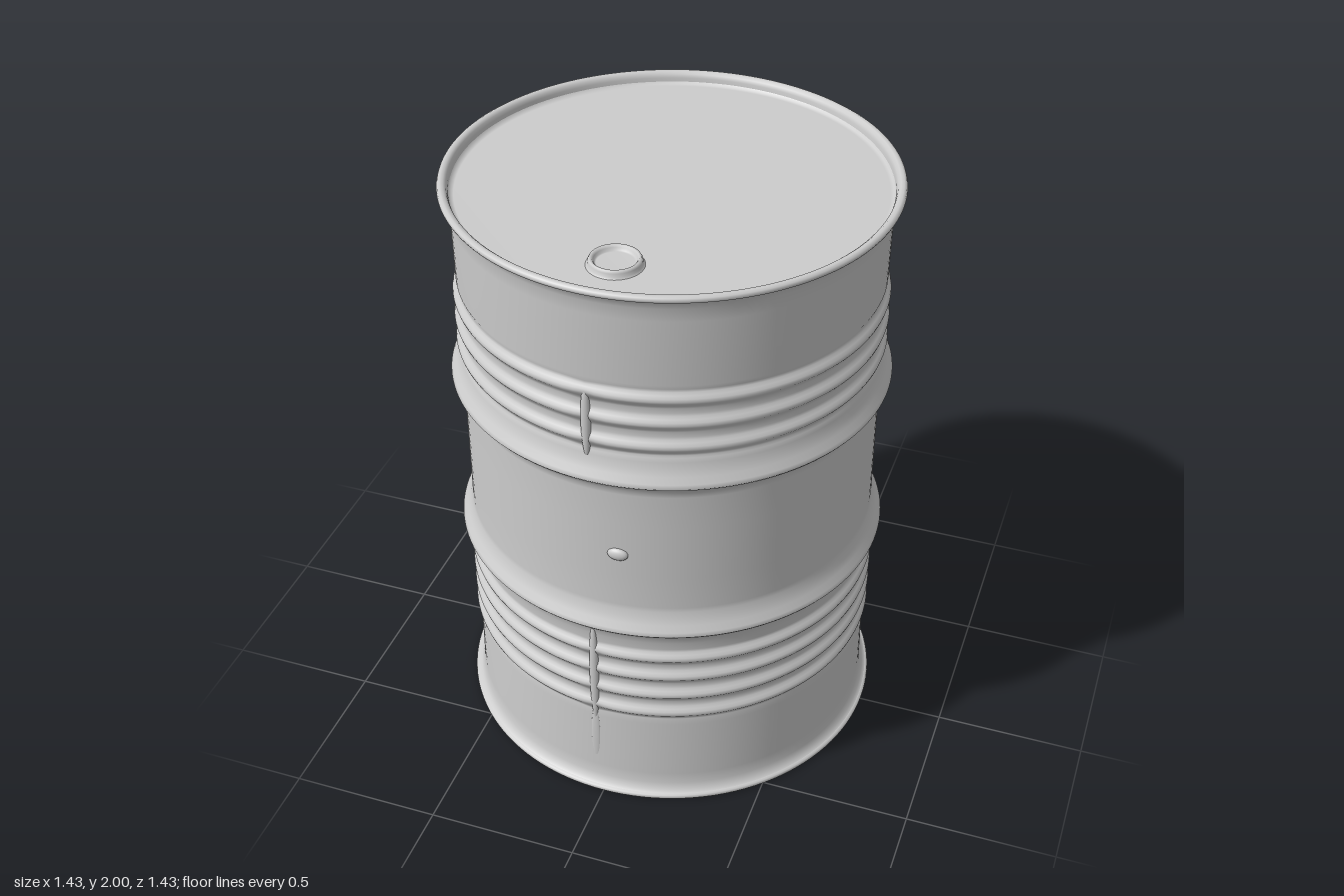
import * as THREE from 'three';

const SEGMENTS = 128;

export function createModel() {
  const group = new THREE.Group();
  const steel = new THREE.MeshStandardMaterial({ color: 0xcccccc });
  steel.name = 'grey steel';

  const add = (name, geometry) => {
    const mesh = new THREE.Mesh(geometry, steel);
    mesh.name = name;
    group.add(mesh);
    return mesh;
  };
  const lathe = (name, pts, segments = SEGMENTS) =>
    add(name, new THREE.LatheGeometry(pts.map(([r, y]) => new THREE.Vector2(r, y)), segments));

  // Outline of one small corrugation: valley, crest, valley
  const rib = (y, h = 0.034) => {
    const pts = [];
    for (let i = 0; i <= 8; i++) {
      const t = (i / 8) * 2 - 1;
      pts.push([0.672 + 0.009 * (1 + Math.cos(t * Math.PI)), y + t * h]);
    }
    return pts;
  };
  // Outline of one large rolling hoop, with a pointed crest
  const hoop = (y) => [
    [0.677, y - 0.06], [0.68, y - 0.04], [0.69, y - 0.022], [0.708, y - 0.008], [0.714, y],
    [0.708, y + 0.012], [0.696, y + 0.032], [0.686, y + 0.052], [0.68, y + 0.075], [0.677, y + 0.09],
  ];

  // Side wall with flared ends; the corrugations flatten out beside the seams
  const wall = lathe('sideWall', [
    [0.706, 0.018], [0.693, 0.026], [0.684, 0.05], [0.68, 0.09], [0.678, 0.32],
    ...rib(0.375), ...rib(0.455), ...rib(0.535), ...rib(0.615),
    ...hoop(0.74), [0.677, 0.95], [0.677, 1.15], ...hoop(1.33),
    ...rib(1.46), ...rib(1.545), ...rib(1.63),
    [0.678, 1.68], [0.681, 1.9], [0.685, 1.945], [0.694, 1.972], [0.706, 1.982],
  ]).geometry;
  const pos = wall.attributes.position;
  for (let i = 0; i < pos.count; i++) {
    const [x, y, z] = [pos.getX(i), pos.getY(i), pos.getZ(i)];
    const ribbed = (y > 0.33 && y < 0.655) || (y > 1.42 && y < 1.67);
    const seamX = Math.abs(x + 0.035 * Math.sign(z));
    if (!ribbed || seamX > 0.05) continue;
    const r = Math.hypot(x, z);
    const k = THREE.MathUtils.lerp(r, 0.68, 0.6 * (1 - seamX / 0.05)) / r;
    pos.setXYZ(i, x * k, y, z * k);
  }

  // Rolled rims at both ends
  lathe('topRim', [
    [0.704, 1.978], [0.712, 1.981], [0.715, 1.988], [0.712, 1.996], [0.704, 2],
    [0.694, 1.999], [0.686, 1.992], [0.682, 1.98], [0.68, 1.962],
  ]);
  lathe('bottomRim', [
    [0.708, 0], [0.713, 0.004], [0.714, 0.01], [0.712, 0.017], [0.704, 0.02],
  ]);

  // Recessed lid and flat base
  lathe('lid', [[0.681, 1.968], [0.675, 1.961], [0.665, 1.958], [0, 1.958]]);
  lathe('base', [[0, 0], [0.709, 0]]);

  // Filler plug with a raised ring
  const plug = lathe('fillerPlug', [
    [0.088, 1.957], [0.081, 1.963], [0.08, 1.974], [0.076, 1.981], [0.069, 1.981],
    [0.064, 1.975], [0.061, 1.967], [0.056, 1.965], [0, 1.965],
  ], 40);
  plug.position.z = 0.495;

  // Welded seams and a small boss, repeated on the opposite side
  for (const side of [1, -1]) {
    for (const [y, height, depth] of [[1.52, 0.26, 0.013], [0.51, 0.42, 0.012], [0.23, 0.24, 0.005]]) {
      const seam = add('seam', new THREE.SphereGeometry(1, 16, 24));
      seam.scale.set(0.016, height / 2, depth);
      seam.position.set(-0.033 * side, y, 0.676 * side);
    }
    const boss = add('boss', new THREE.SphereGeometry(1, 20, 14));
    boss.scale.set(0.034, 0.022, 0.016);
    boss.position.set(0.057 * side, 1.035, 0.675 * side);
  }

  return group;
}
